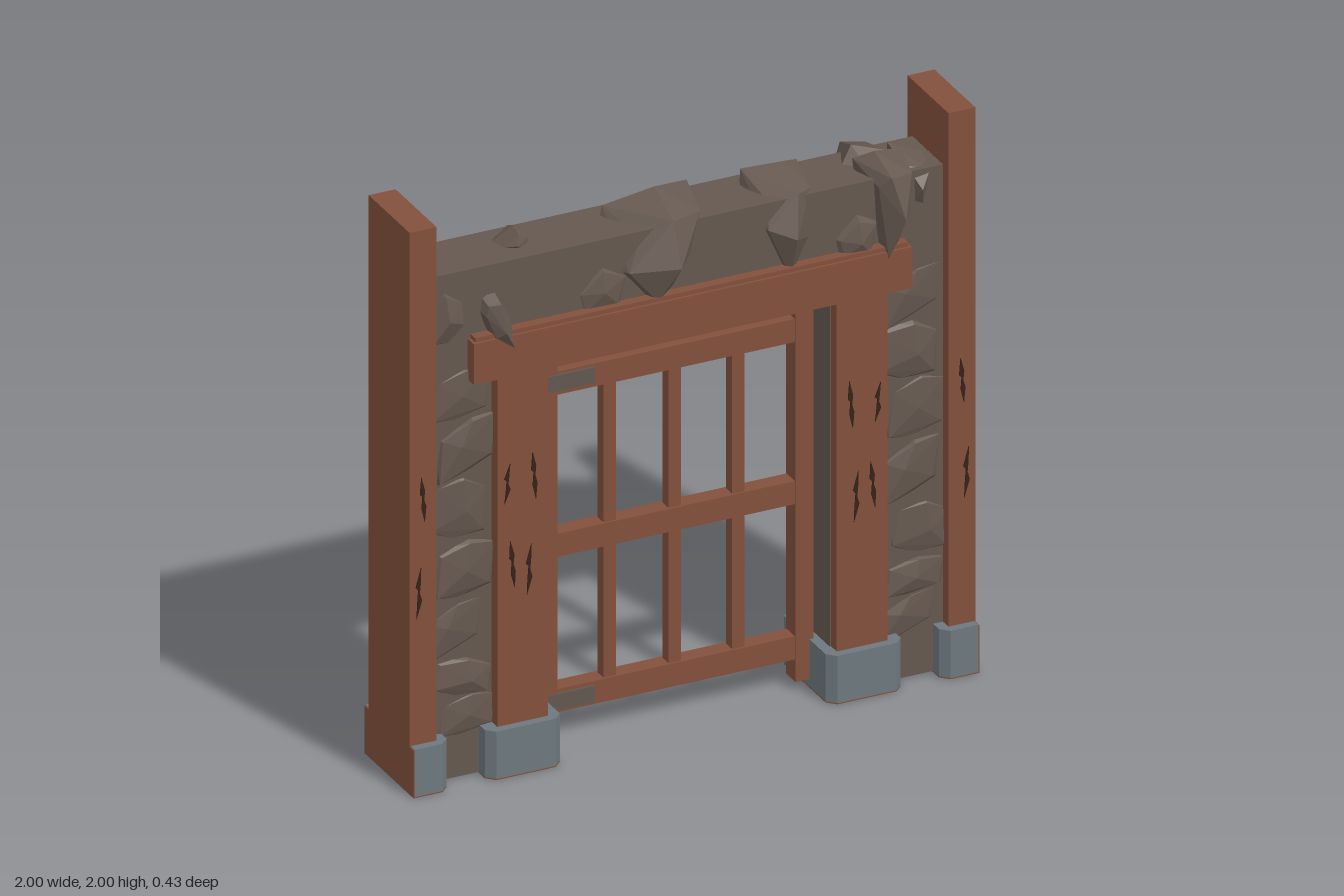
import * as THREE from 'three';
import { ConvexGeometry } from 'three/addons/geometries/ConvexGeometry.js';

const mat = (name, color) => {
  const m = new THREE.MeshStandardMaterial({ color });
  m.name = name;
  return m;
};

export function createModel() {
  const model = new THREE.Group();
  model.name = 'stoneGateway';
  const wood = mat('redWood', 0x82503c);
  const stone = mat('stone', 0x65584f);
  const metal = mat('greyMetal', 0x6d787e);
  const hingeMat = mat('hingeGrey', 0x62574f);
  const crackMat = mat('darkCrack', 0x36211a);

  const add = (name, geo, material, parent = model) => {
    const mesh = new THREE.Mesh(geo, material);
    mesh.name = name;
    parent.add(mesh);
    return mesh;
  };
  // box given by its limits on each axis
  const box = (name, x0, x1, y0, y1, z0, z1, material, parent) => {
    const g = new THREE.BoxGeometry(x1 - x0, y1 - y0, z1 - z0);
    g.translate((x0 + x1) / 2, (y0 + y1) / 2, (z0 + z1) / 2);
    return add(name, g, material, parent);
  };
  // upright prism from an outline in x and z
  const prism = (name, pts, y0, y1, material) => {
    const shape = new THREE.Shape(pts.map(([x, z]) => new THREE.Vector2(x, -z)));
    const g = new THREE.ExtrudeGeometry(shape, { depth: y1 - y0, bevelEnabled: false });
    g.rotateX(-Math.PI / 2).translate(0, y0, 0);
    return add(name, g, material);
  };

  // wall: two piers and the band above the opening
  for (const s of [-1, 1]) {
    const [a, b] = s < 0 ? [-0.91, -0.505] : [0.505, 0.91];
    box('wallPier', a, b, 0.004, 1.42, -0.1, 0.12, stone);
  }
  box('wallBand', -0.91, 0.91, 1.42, 1.8, -0.1, 0.12, stone);

  // lintel with a slim bevelled top
  box('lintel', -0.775, 0.775, 1.41, 1.555, -0.15, 0.165, wood);
  box('lintelTop', -0.765, 0.765, 1.555, 1.57, -0.14, 0.155, wood);

  // thin sliver of a crack on a post face
  const crack = (x, y, h, lean, side) => {
    const w = 0.011;
    const shape = new THREE.Shape([
      [-lean, h / 2], [w * 0.6, h * 0.2], [w * 0.3, 0], [w, -h * 0.15],
      [lean, -h / 2], [-w * 0.5, -h * 0.2], [-w * 0.2, 0.01], [-w, h * 0.12],
    ].map(([px, py]) => new THREE.Vector2(px, py)));
    const g = new THREE.ExtrudeGeometry(shape, { depth: 0.004, bevelEnabled: false });
    g.translate(x, y, side > 0 ? 0.159 : -0.136);
    add('crack', g, crackMat);
  };

  // posts, metal feet and cracks on both halves
  const footOutline = (x0, x1, c0, c1) => [
    [x0, 0.19 - c0], [x0 + c0, 0.19], [x1 - c1, 0.19], [x1, 0.19 - c1],
    [x1, -0.165 + c1], [x1 - c1, -0.165], [x0 + c0, -0.165], [x0, -0.165 + c0],
  ];
  for (const s of [-1, 1]) {
    const span = (a, b) => (s < 0 ? [-b, -a] : [a, b]);
    box('outerPost', ...span(0.905, 1), 0, 2, -0.135, 0.16, wood);
    box('innerPost', ...span(0.51, 0.69), 0, 1.41, -0.135, 0.16, wood);
    box('outerFootEnd', ...span(0.995, 1), 0, 0.17, -0.165, 0.19, wood);
    const feet = [
      ['innerFoot', footOutline(0.47, 0.735, 0.028, 0.028)],
      ['outerFoot', footOutline(0.87, 0.996, 0.028, 0.0001)],
    ];
    for (const [name, pts] of feet) {
      const p = pts.map(([x, z]) => [s * x, z]);
      prism(name, p, 0.004, 0.172, metal);
      prism(name + 'Sole', p, 0, 0.004, wood);
    }
    for (const side of [-1, 1]) {
      crack(s * 0.953, 1.04, 0.16, 0.006, side);
      crack(s * 0.968, 0.71, 0.18, -0.008, side);
      crack(s * 0.655, 1.03, 0.14, -0.01, side);
      crack(s * 0.56, 1.04, 0.17, 0.006, side);
      crack(s * 0.637, 0.74, 0.17, 0.008, side);
      crack(s * 0.578, 0.71, 0.18, -0.008, side);
    }
  }

  // gate: stiles, rails, bars and hinges
  const gate = new THREE.Group();
  gate.name = 'gate';
  model.add(gate);
  for (const s of [-1, 1]) box('stile', s * 0.453 - 0.032, s * 0.453 + 0.032, 0.03, 1.36, -0.025, 0.045, wood, gate);
  for (const y of [0.15, 0.703, 1.28]) box('rail', -0.43, 0.43, y - 0.041, y + 0.041, -0.02, 0.04, wood, gate);
  for (const x of [-0.23, 0, 0.225]) box('bar', x - 0.022, x + 0.022, 0.18, 1.25, -0.012, 0.032, wood, gate);
  for (const y of [0.15, 1.285]) box('hinge', -0.49, -0.29, y - 0.028, y + 0.028, -0.03, 0.05, hingeMat, gate);

  // faceted boulder: outline at its base depth, a shrunk outline, and a peak
  const rock = (name, outline, zBase, zPeak, px, py, shrink = 0.62) => {
    const pts = [];
    outline.forEach(([x, y], i) => {
      pts.push(new THREE.Vector3(x, y, zBase + (zPeak - zBase) * (i % 2 ? 0.3 : 0.12)));
      const k = shrink + (i % 3) * 0.09;
      pts.push(new THREE.Vector3(px + (x - px) * k, py + (y - py) * k,
        zBase + (zPeak - zBase) * (0.66 + (i % 2) * 0.14)));
      pts.push(new THREE.Vector3(px + (x - px) * 0.7, py + (y - py) * 0.7, zBase));
    });
    pts.push(new THREE.Vector3(px, py, zPeak));
    return add(name, new ConvexGeometry(pts), stone);
  };

  // front boulders
  rock('frontRock', [[-0.74, 1.72], [-0.68, 1.71], [-0.63, 1.62], [-0.6, 1.46], [-0.64, 1.47], [-0.7, 1.55], [-0.75, 1.66]], 0.06, 0.19, -0.67, 1.58);
  rock('frontRock', [[-0.22, 1.83], [-0.06, 1.885], [0.08, 1.855], [0.03, 1.7], [-0.04, 1.53], [-0.13, 1.52], [-0.26, 1.62], [-0.28, 1.67]], -0.08, 0.205, -0.06, 1.68);
  rock('frontRock', [[0.27, 1.85], [0.4, 1.87], [0.47, 1.84], [0.46, 1.64], [0.4, 1.51], [0.36, 1.49], [0.29, 1.55], [0.25, 1.72]], -0.08, 0.185, 0.36, 1.68);
  rock('frontRock', [[0.63, 1.84], [0.69, 1.87], [0.8, 1.84], [0.79, 1.7], [0.74, 1.53], [0.68, 1.5], [0.66, 1.62]], 0.0, 0.212, 0.73, 1.68);
  rock('frontRock', [[0.77, 1.85], [0.88, 1.81], [0.9, 1.78], [0.85, 1.62], [0.78, 1.6]], -0.03, 0.15, 0.82, 1.74);
  rock('frontRock', [[-0.91, 1.72], [-0.86, 1.76], [-0.78, 1.7], [-0.76, 1.6], [-0.84, 1.52], [-0.91, 1.55]], 0.06, 0.15, -0.85, 1.64);
  rock('frontRock', [[-0.42, 1.62], [-0.3, 1.72], [-0.2, 1.66], [-0.22, 1.54], [-0.38, 1.53]], 0.08, 0.145, -0.3, 1.62);
  rock('frontRock', [[0.5, 1.62], [0.6, 1.7], [0.68, 1.66], [0.66, 1.53], [0.53, 1.53]], 0.08, 0.16, 0.6, 1.6);
  rock('capRock', [[-0.63, 1.79], [-0.55, 1.85], [-0.5, 1.815], [-0.51, 1.77], [-0.6, 1.77]], -0.04, 0.06, -0.57, 1.81);

  // back boulders
  rock('backRock', [[-0.68, 1.68], [-0.58, 1.77], [-0.44, 1.72], [-0.39, 1.56], [-0.43, 1.38], [-0.5, 1.36], [-0.66, 1.43], [-0.73, 1.54]], -0.02, -0.215, -0.58, 1.57);
  rock('backRock', [[-0.28, 1.62], [-0.16, 1.7], [-0.02, 1.72], [0.07, 1.6], [0.02, 1.42], [-0.15, 1.35], [-0.22, 1.4]], -0.02, -0.2, -0.07, 1.58);
  rock('backRock', [[0.22, 1.66], [0.35, 1.78], [0.5, 1.76], [0.58, 1.6], [0.48, 1.41], [0.42, 1.37], [0.25, 1.41]], -0.02, -0.18, 0.48, 1.6);
  rock('backRock', [[0.58, 1.76], [0.66, 1.85], [0.76, 1.83], [0.86, 1.72], [0.82, 1.53], [0.68, 1.47], [0.57, 1.58]], 0.03, -0.215, 0.73, 1.68);

  // shallow stone relief on the piers, front and back
  const slabs = [[0.22, 0.16], [0.36, 0.14], [0.53, 0.2], [0.74, 0.22], [0.96, 0.24], [1.17, 0.22], [1.36, 0.2]];
  for (const s of [-1, 1]) for (const side of [-1, 1]) {
    slabs.forEach(([y, h], i) => {
      const x = s * (0.8 + ((i * 7) % 5 - 2) * 0.012);
      const t = ((i + (s > 0 ? 2 : 0) + (side > 0 ? 1 : 0)) % 3 - 1) * 0.03;
      const o = [[-0.11, h * 0.35 + t], [0.02, h * 0.5], [0.11, h * 0.38 - t],
        [0.11, -h * 0.36 - t], [-0.03, -h * 0.5], [-0.11, -h * 0.4 + t]];
      rock('pierStone', o.map(([dx, dy]) => [x + dx, y + dy]),
        side > 0 ? 0.09 : -0.07, side > 0 ? 0.135 + (i % 2) * 0.01 : -0.115 - (i % 2) * 0.01,
        x + t, y - t * 0.5, 0.74);
    });
  }
  return model;
}
